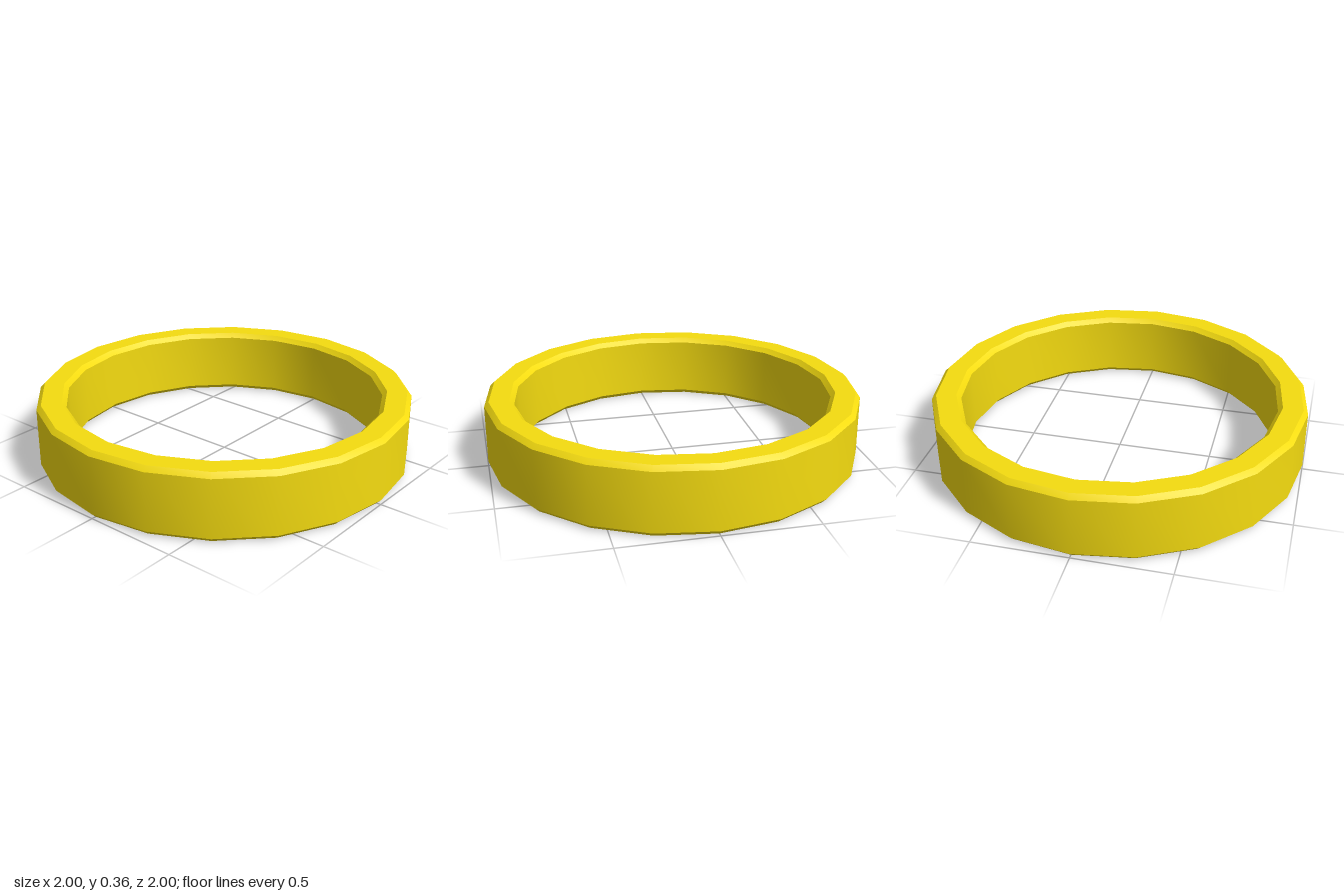
import * as THREE from 'three';
import { toCreasedNormals } from 'three/addons/utils/BufferGeometryUtils.js';

const SIDES = 20;
const OUTER = 1;
const INNER = 0.845;
const HEIGHT = 0.36;
const BEVEL = 0.024;

export function createModel() {
  const group = new THREE.Group();
  group.name = 'ring';

  // Closed cross-section: a rectangle with chamfered corners, counterclockwise
  const profile = [
    [OUTER - BEVEL, 0],
    [OUTER, BEVEL],
    [OUTER, HEIGHT - BEVEL],
    [OUTER - BEVEL, HEIGHT],
    [INNER + BEVEL, HEIGHT],
    [INNER, HEIGHT - BEVEL],
    [INNER, BEVEL],
    [INNER + BEVEL, 0],
    [OUTER - BEVEL, 0],
  ].map(([r, y]) => new THREE.Vector2(r, y));

  // Smooth around the band, sharp at the chamfers
  const geometry = toCreasedNormals(new THREE.LatheGeometry(profile, SIDES), Math.PI / 6);
  const band = new THREE.Mesh(geometry, new THREE.MeshStandardMaterial({ color: 0xf5dc10 }));
  band.name = 'band';
  group.add(band);

  return group;
}
